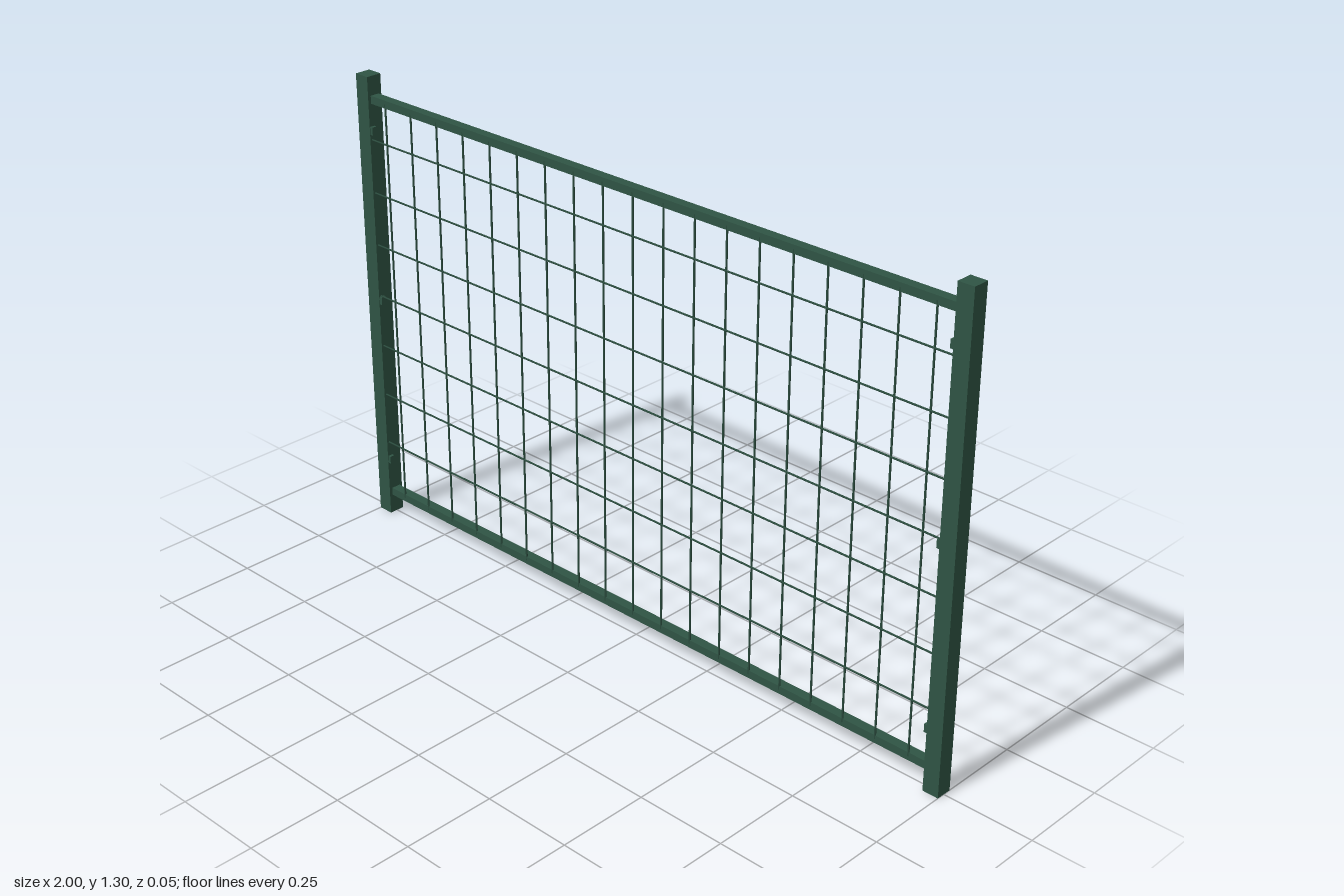
import * as THREE from 'three';

export function createModel() {
  const group = new THREE.Group();
  const green = new THREE.MeshStandardMaterial({ color: 0x2f5444 });
  green.name = 'dark green paint';
  const wireGreen = new THREE.MeshStandardMaterial({ color: 0x2a4b3d });
  wireGreen.name = 'wire green';

  function add(name, geometry, material, x, y, z) {
    const mesh = new THREE.Mesh(geometry, material);
    mesh.name = name;
    mesh.position.set(x, y, z);
    group.add(mesh);
  }

  const railY = [0.066, 1.236];
  const postWidth = 0.045;
  const postX = 1 - postWidth / 2;

  // Square end posts with small fixing clips on their inner faces
  const postGeo = new THREE.BoxGeometry(postWidth, 1.3, postWidth);
  const clipGeo = new THREE.BoxGeometry(0.012, 0.022, 0.014);
  for (const side of [-1, 1]) {
    add(side > 0 ? 'leftPost' : 'rightPost', postGeo, green, side * postX, 0.65, 0);
    for (const y of [0.172, 0.663, 1.152]) add('clip', clipGeo, green, side * 0.952, y, 0.014);
  }

  // Flat-sided rails between the posts
  const railGeo = new THREE.BoxGeometry(1.92, 0.022, 0.027);
  railY.forEach((y, i) => add(i ? 'topRail' : 'bottomRail', railGeo, green, 0, y, 0));

  // Upright wires, ending inside the rails
  const uprightGeo = new THREE.CylinderGeometry(0.0027, 0.0027, railY[1] - railY[0], 8);
  for (let i = -9; i <= 9; i++) {
    add('uprightWire', uprightGeo, wireGreen, i * 0.1, (railY[0] + railY[1]) / 2, 0.0115);
  }

  // Cross wires, just in front of the uprights
  const crossGeo = new THREE.CylinderGeometry(0.0025, 0.0025, 1.92, 8).rotateZ(Math.PI / 2);
  for (let i = 0; i < 7; i++) add('crossWire', crossGeo, wireGreen, 0, 0.225 + i * 0.15, 0.015);

  return group;
}
